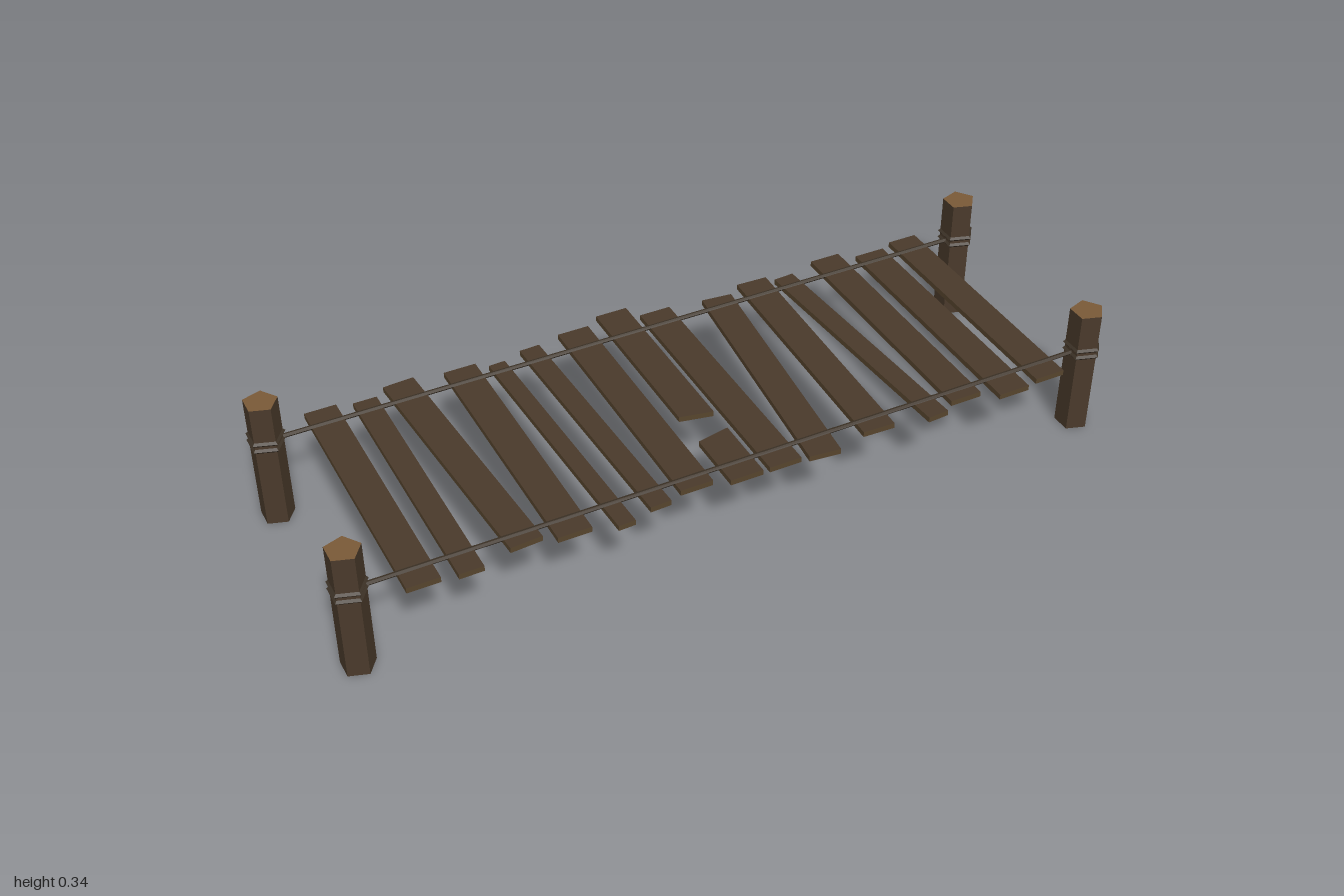
import * as THREE from 'three';

const wood = new THREE.MeshStandardMaterial({ name: 'dark wood', color: 0x4a3a2b, flatShading: true });
const cutWood = new THREE.MeshStandardMaterial({ name: 'cut wood', color: 0x7a5a38, flatShading: true });
const edgeWood = new THREE.MeshStandardMaterial({ name: 'plank edge wood', color: 0x57452d, flatShading: true });
const ropeMat = new THREE.MeshStandardMaterial({ name: 'rope', color: 0x3f3428, flatShading: true });

const PLANK_TOP = 0.224, PLANK_THICK = 0.014, POST_HEIGHT = 0.34;
const POST_X = [-0.961, 0.952], POST_Z = [-0.272, 0.296];

// Planks: x at the back end, x at the front end, width, back z, front z
const PLANKS = [
  [-0.81, -0.81, 0.08, -0.33, 0.35],
  [-0.703, -0.703, 0.06, -0.315, 0.36],
  [-0.607, -0.561, 0.08, -0.345, 0.33],
  [-0.453, -0.453, 0.083, -0.33, 0.35],
  [-0.364, -0.337, 0.043, -0.307, 0.374],
  [-0.267, -0.241, 0.053, -0.33, 0.35],
  [-0.14, -0.14, 0.083, -0.348, 0.33],
  [0.08, 0.08, 0.083, -0.33, 0.35],
  [0.249, 0.179, 0.08, -0.313, 0.361],
  [0.364, 0.339, 0.083, -0.337, 0.338],
  [0.448, 0.492, 0.055, -0.317, 0.358],
  [0.588, 0.588, 0.083, -0.345, 0.33],
  [0.706, 0.706, 0.083, -0.313, 0.362],
  [0.818, 0.818, 0.08, -0.33, 0.35],
];

// Flat board from an outline of [x, z] corners
function board(name, corners) {
  const shape = new THREE.Shape(corners.map(([x, z]) => new THREE.Vector2(x, z)));
  const geo = new THREE.ExtrudeGeometry(shape, { depth: PLANK_THICK, bevelEnabled: false });
  geo.rotateX(Math.PI / 2);
  const mesh = new THREE.Mesh(geo, [wood, edgeWood]);
  mesh.position.y = PLANK_TOP;
  mesh.name = name;
  return mesh;
}

// Straight board, turned as a rectangle between its two end centres
function plank([xb, xf, w, zb, zf]) {
  const dir = new THREE.Vector2(xf - xb, zf - zb).normalize();
  const sx = dir.y * w / 2, sz = -dir.x * w / 2;
  return board('plank', [[xb - sx, zb - sz], [xb + sx, zb + sz], [xf + sx, zf + sz], [xf - sx, zf - sz]]);
}

// Five-sided post, one corner towards +x, with sawn ends and two rope windings
function post(x, z) {
  const group = new THREE.Group();
  group.name = 'post';
  group.position.set(x, 0, z);
  const geo = new THREE.CylinderGeometry(0.0425, 0.0425, POST_HEIGHT, 5).rotateY(Math.PI / 2);
  const trunk = new THREE.Mesh(geo, [wood, cutWood, cutWood]);
  trunk.position.y = POST_HEIGHT / 2;
  trunk.name = 'postTrunk';
  group.add(trunk);
  for (const y of [0.221, 0.24]) {
    const ring = new THREE.Mesh(new THREE.TorusGeometry(0.038, 0.0105, 4, 5).rotateX(Math.PI / 2), ropeMat);
    ring.position.y = y;
    ring.name = 'ropeWinding';
    group.add(ring);
  }
  return group;
}

export function createModel() {
  const model = new THREE.Group();
  model.name = 'plankBridge';

  for (const z of POST_Z) {
    for (const x of POST_X) model.add(post(x, z));
    // Rope stretched between the posts
    const length = POST_X[1] - POST_X[0];
    const rope = new THREE.Mesh(new THREE.CylinderGeometry(0.006, 0.006, length, 5).rotateZ(Math.PI / 2), ropeMat);
    rope.position.set((POST_X[0] + POST_X[1]) / 2, 0.224, z);
    rope.name = 'rope';
    model.add(rope);
  }

  for (const p of PLANKS) model.add(plank(p));

  // Broken plank in two pieces
  const l = -0.063, r = 0.021;
  model.add(board('brokenPlankBack', [[l, -0.376], [r, -0.376], [r, 0.105], [l, 0.088]]));
  model.add(board('brokenPlankFront', [[l, 0.19], [r, 0.174], [r, 0.35], [l, 0.35]]));

  return model;
}
